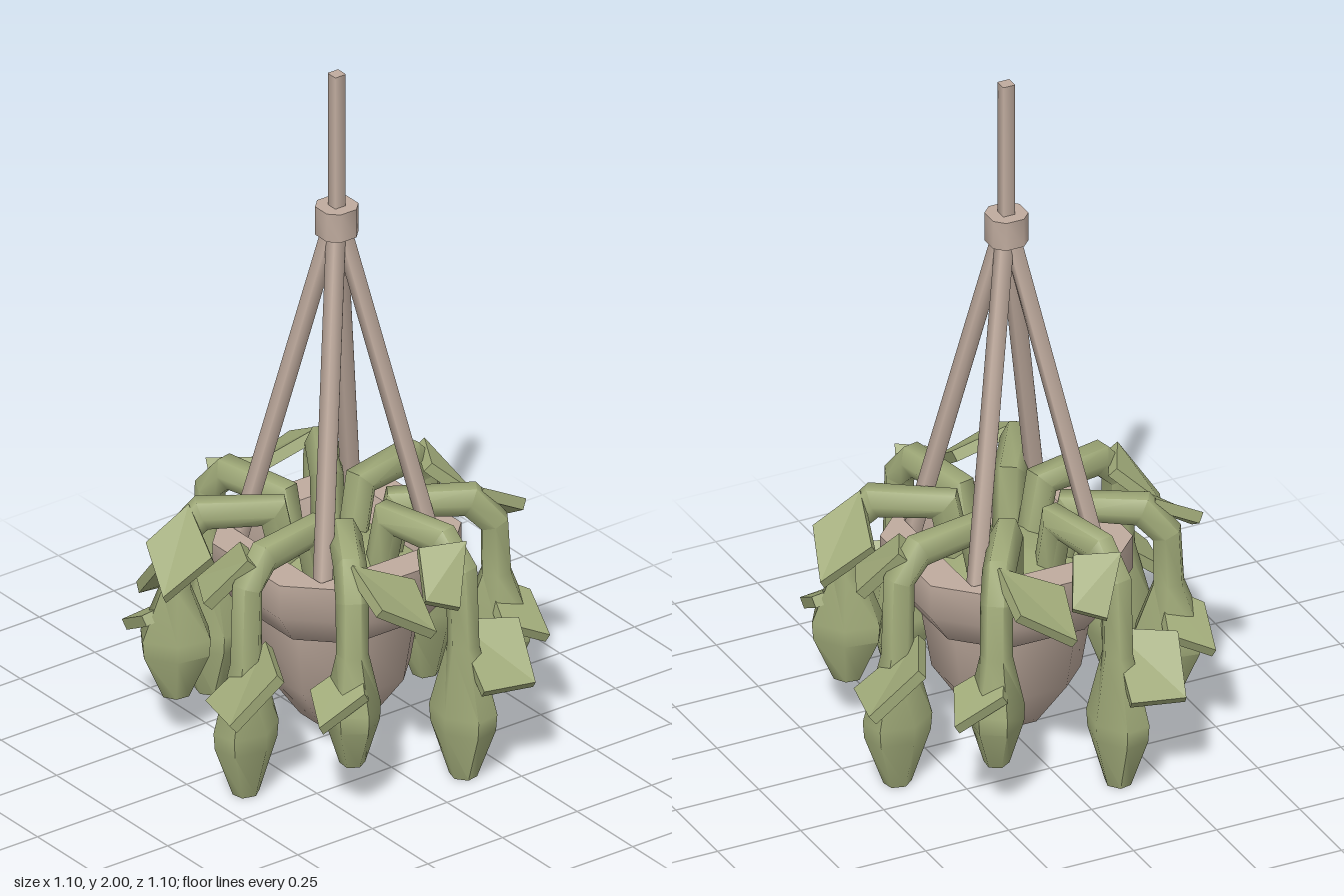
import * as THREE from 'three';
import { toCreasedNormals } from 'three/addons/utils/BufferGeometryUtils.js';

const clay = new THREE.MeshStandardMaterial({ color: 0xbfab9e });
clay.name = 'clay';
const green = new THREE.MeshStandardMaterial({ color: 0x9fa978 });
green.name = 'leafGreen';

// Skins a list of rings (arrays of Vector3) and closes both ends.
function loft(rings, crease = 1) {
  const pos = [];
  const tri = (...pts) => pts.forEach((p) => pos.push(p.x, p.y, p.z));
  const n = rings[0].length;
  const middle = (ring) => ring[0].clone().add(ring[n / 2]).multiplyScalar(0.5);
  const first = rings[0], last = rings[rings.length - 1];
  for (let i = 0; i < n; i++) {
    const j = (i + 1) % n;
    for (let k = 0; k + 1 < rings.length; k++) {
      const lo = rings[k], hi = rings[k + 1];
      tri(lo[i], hi[i], hi[j]);
      tri(lo[i], hi[j], lo[j]);
    }
    tri(middle(first), first[i], first[j]);
    tri(middle(last), last[j], last[i]);
  }
  const geo = new THREE.BufferGeometry();
  geo.setAttribute('position', new THREE.Float32BufferAttribute(pos, 3));
  return toCreasedNormals(geo, crease);
}

// Square with cut corners: half width r, half flat side r * k.
function cutSquare(r, y, k = 0.5, x = 0, z = 0) {
  const s = r * k;
  return [[r, -s], [r, s], [s, r], [-s, r], [-r, s], [-r, -s], [-s, -r], [s, -r]]
    .map(([px, pz]) => new THREE.Vector3(x + px, y, z + pz));
}

function addMesh(parent, name, geometry, material) {
  const mesh = new THREE.Mesh(geometry, material);
  mesh.name = name;
  parent.add(mesh);
}

// Stem that rises from the soil, bends over the rim and ends in a hanging pod.
function vineGeometry({ start, end, neck, belly, tip, width }) {
  const a = new THREE.Vector2(...start), b = new THREE.Vector2(...end);
  const d = b.clone().sub(a), len = d.length();
  d.normalize();
  const side = new THREE.Vector3(-d.y, 0, d.x);
  // distance along, height, slope in degrees, half width, half depth
  const stations = [
    [-0.01, 0.5, 80, 0.044, 0.043],
    [0.03, 0.69, 42, 0.046, 0.055],
    [len - 0.07, 0.69, -22, 0.046, 0.05],
    [len - 0.005, 0.62, -67, 0.045, 0.044],
    [len, neck, -90, 0.044, 0.045],
    [len, belly + 0.02, -90, width, width * 1.38],
    [len, belly - 0.03, -90, width * 0.97, width * 1.32],
    [len, tip, -90, 0.035, 0.04],
  ];
  return loft(stations.map(([u, y, deg, w, h]) => {
    const phi = THREE.MathUtils.degToRad(deg), c = Math.cos(phi);
    const t = new THREE.Vector3(d.x * c, Math.sin(phi), d.y * c);
    const normal = side.clone().cross(t);
    const centre = new THREE.Vector3(a.x + d.x * u, y, a.y + d.y * u);
    return Array.from({ length: 6 }, (_, i) => {
      const ang = (i / 6) * Math.PI * 2;
      return centre.clone().addScaledVector(side, Math.cos(ang) * w)
        .addScaledVector(normal, Math.sin(ang) * h);
    });
  }), 1.1);
}

// Thick kite leaf folded along base to tip; corners run base, side, tip, side.
function leafGeometry(corners) {
  const top = corners.map((c) => new THREE.Vector3(...c));
  const along = top[2].clone().sub(top[0]), across = top[1].clone().sub(top[3]);
  const down = along.cross(across).normalize().multiplyScalar(0.032);
  if (down.y > 0) down.negate();
  return loft([top.map((p) => p.clone().add(down)), top], 0.1);
}

const vineTypes = [
  {
    name: 'longVine',
    vine: { start: [0.07, 0.11], end: [0.13, 0.398], neck: 0.4, belly: 0.18, tip: 0, width: 0.075 },
    leaves: [
      [[0.14, 0.445, 0.34], [0.3, 0.435, 0.42], [0.26, 0.305, 0.55], [0.11, 0.31, 0.52]],
      [[0.14, 0.71, 0.4], [0.055, 0.57, 0.485], [-0.03, 0.6, 0.445], [0.025, 0.7, 0.34]],
    ],
  },
  {
    name: 'shortVine',
    vine: { start: [-0.065, 0.125], end: [-0.222, 0.372], neck: 0.47, belly: 0.3, tip: 0.14, width: 0.077 },
    leaves: [
      [[-0.2, 0.72, 0.345], [-0.03, 0.645, 0.395], [-0.06, 0.555, 0.535], [-0.205, 0.645, 0.485]],
      [[-0.19, 0.45, 0.36], [-0.25, 0.395, 0.465], [-0.38, 0.32, 0.435], [-0.325, 0.37, 0.32]],
    ],
  },
];

export function createModel() {
  const model = new THREE.Group();
  model.name = 'hangingPlanter';
  const planter = new THREE.Group();
  planter.name = 'planter';
  planter.position.set(-0.01, 0, -0.01);
  model.add(planter);

  // Pot with a flared collar and a square opening
  addMesh(planter, 'pot', loft([
    cutSquare(0.09, 0.06), cutSquare(0.18, 0.2), cutSquare(0.21, 0.4),
    cutSquare(0.235, 0.4), cutSquare(0.304, 0.5), cutSquare(0.304, 0.6),
    cutSquare(0.207, 0.6, 0.97), cutSquare(0.187, 0.52, 0.97),
  ]), clay);

  // Mossy soil
  addMesh(planter, 'soil', loft([
    cutSquare(0.188, 0.5, 0.97), cutSquare(0.187, 0.525, 0.97), cutSquare(0.08, 0.57, 0.8),
  ]), green);

  // Hanger: cord, knot and four ropes
  addMesh(planter, 'cord', loft([cutSquare(0.018, 1.56, 0.9), cutSquare(0.018, 2, 0.9)]), clay);
  addMesh(planter, 'knot', loft([cutSquare(0.053, 1.515), cutSquare(0.053, 1.6)]), clay);
  for (const sx of [-1, 1]) {
    for (const sz of [-1, 1]) {
      addMesh(planter, 'rope', loft([
        cutSquare(0.02, 0.57, 0.9, sx * 0.188, sz * 0.188),
        cutSquare(0.02, 1.55, 0.9, sx * 0.006, sz * 0.006),
      ]), clay);
    }
  }

  // Two kinds of vine, each repeated at quarter turns
  for (const type of vineTypes) {
    const stem = vineGeometry(type.vine);
    const leaves = type.leaves.map(leafGeometry);
    for (let q = 0; q < 4; q++) {
      const vine = new THREE.Group();
      vine.name = type.name;
      vine.rotation.y = (q * Math.PI) / 2;
      addMesh(vine, 'stemAndPod', stem, green);
      leaves.forEach((leaf) => addMesh(vine, 'leaf', leaf, green));
      model.add(vine);
    }
  }
  return model;
}
